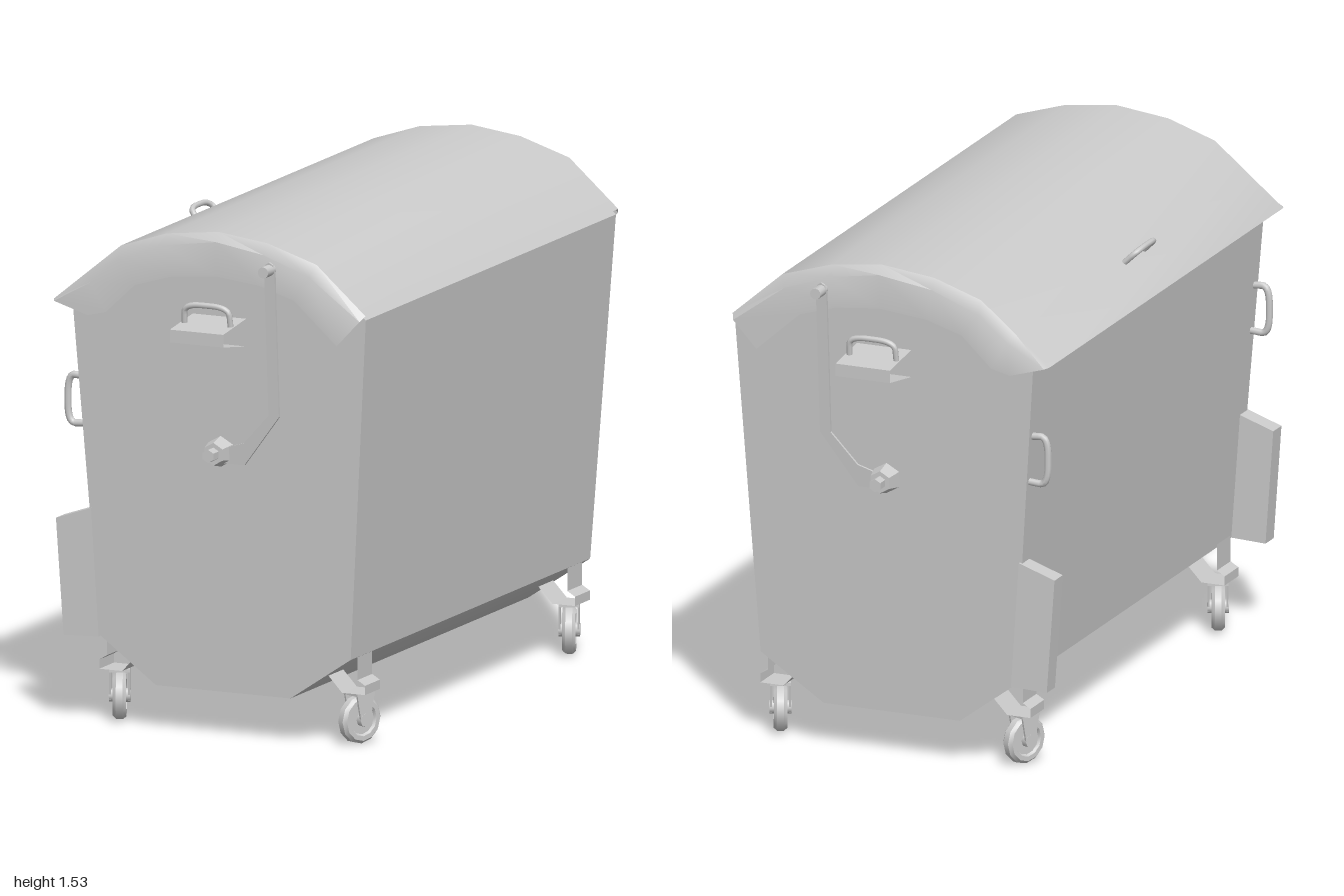
import * as THREE from 'three';
import { toCreasedNormals } from 'three/addons/utils/BufferGeometryUtils.js';

const material = new THREE.MeshStandardMaterial({ color: 0xcccccc, side: THREE.DoubleSide });
const V = (x, y, z) => new THREE.Vector3(x, y, z);

// Surface through rows of points, smooth except at sharp folds
function loft(rows, crease = 0.6) {
  const positions = [];
  const push = (...points) => points.forEach((p) => positions.push(p.x, p.y, p.z));
  for (let i = 0; i + 1 < rows.length; i++) {
    for (let j = 0; j + 1 < rows[i].length; j++) {
      const a = rows[i][j], b = rows[i][j + 1], c = rows[i + 1][j + 1], d = rows[i + 1][j];
      push(a, b, c, a, c, d);
    }
  }
  const geometry = new THREE.BufferGeometry();
  geometry.setAttribute('position', new THREE.Float32BufferAttribute(positions, 3));
  geometry.computeVertexNormals();
  return toCreasedNormals(geometry, crease);
}

// Copy of a geometry reflected in x and/or z, with the winding kept outward
function mirrored(source, sx, sz) {
  const geometry = source.index ? source.toNonIndexed() : source.clone();
  geometry.scale(sx, 1, sz);
  if (sx * sz < 0) {
    for (const { array, itemSize: n } of Object.values(geometry.attributes)) {
      for (let t = 0; t < array.length; t += 3 * n) {
        for (let k = 0; k < n; k++) {
          const swap = array[t + n + k];
          array[t + n + k] = array[t + 2 * n + k];
          array[t + 2 * n + k] = swap;
        }
      }
    }
  }
  return geometry;
}

function extrude(points, depth) {
  const shape = new THREE.Shape(points.map(([x, y]) => new THREE.Vector2(x, y)));
  return new THREE.ExtrudeGeometry(shape, { depth, bevelEnabled: false });
}

// Bent round bar with rounded corners
function bar(points, radius) {
  const path = new THREE.CurvePath();
  let from = points[0];
  for (let i = 1; i < points.length - 1; i++) {
    const r = 0.4;
    const start = points[i].clone().lerp(points[i - 1], r);
    const end = points[i].clone().lerp(points[i + 1], r);
    path.add(new THREE.LineCurve3(from, start));
    path.add(new THREE.QuadraticBezierCurve3(start, points[i], end));
    from = end;
  }
  path.add(new THREE.LineCurve3(from, points[points.length - 1]));
  return new THREE.TubeGeometry(path, 24, radius, 8, false);
}

function add(parent, name, geometry) {
  const mesh = new THREE.Mesh(geometry, material);
  mesh.name = name;
  parent.add(mesh);
  return mesh;
}

// Lid arc: outer edge, chamfer edge and lower skirt edge
const lidOuter = [[-0.51, 1.28], [-0.4, 1.37], [-0.29, 1.46], [-0.14, 1.51], [0.03, 1.53], [0.19, 1.51], [0.35, 1.46], [0.51, 1.32]];
const lidChamfer = [[-0.5, 1.278], [-0.38, 1.345], [-0.29, 1.42], [-0.14, 1.478], [0.03, 1.503], [0.185, 1.478], [0.335, 1.425], [0.5, 1.305]];
const lidSkirt = [[-0.39, 1.245], [-0.33, 1.26], [-0.235, 1.35], [-0.12, 1.385], [0.03, 1.4], [0.17, 1.385], [0.285, 1.35], [0.425, 1.225]];

function bodyGeometry() {
  const arc = lidOuter.slice(1, -1).reverse().map(([x, y]) => [x, y - 0.015]);
  const outline = [[-0.2, 0.135], [0.24, 0.135], [0.44, 0.27], [0.507, 1.305], ...arc, [-0.455, 1.3], [-0.38, 0.27]];
  const geometry = extrude(outline, 2).translate(0, 0, -1);
  // End walls lean outward towards the top
  const p = geometry.attributes.position;
  for (let i = 0; i < p.count; i++) {
    p.setZ(i, p.getZ(i) * (0.805 + 0.035 * (p.getY(i) - 0.135)));
  }
  geometry.computeVertexNormals();
  return toCreasedNormals(geometry, 0.7);
}

function lidGeometry() {
  const row = (points, z) => points.map(([x, y]) => V(x, y, z));
  return loft([
    row(lidSkirt, 0.875), row(lidChamfer, 0.875), row(lidOuter, 0.855),
    row(lidOuter, -0.855), row(lidChamfer, -0.875), row(lidSkirt, -0.875),
  ].reverse());
}

// Fittings on the end wall facing +z
function endParts() {
  const bracket = [[1.275, 0.84], [1.255, 1], [1.217, 1], [1.19, 0.84]];
  const arm = [[0.228, 1.44], [0.222, 1.454], [0.211, 1.46], [0.2, 1.454], [0.194, 1.44], [0.194, 0.992],
    [0.11, 0.9], [0.06, 0.885], [0.02, 0.885], [0.02, 0.833], [0.11, 0.833], [0.228, 0.99]];
  const armGeometry = extrude(arm, 0.008);
  const p = armGeometry.attributes.position;
  for (let i = 0; i < p.count; i++) p.setZ(i, p.getZ(i) + 0.84 + 0.068 * (p.getY(i) - 0.85));
  armGeometry.computeVertexNormals();
  const knob = (r1, r2, length, x, y, z, sides) =>
    toCreasedNormals(new THREE.CylinderGeometry(r1, r2, length, sides).rotateX(Math.PI / 2).translate(x, y, z), 0.8);
  return {
    liftBracket: loft([-0.06, 0.115].map((x) => bracket.map(([y, z]) => V(x, y, z))), 0.1),
    bracketHandle: bar([V(-0.048, 1.26, 0.925), V(-0.045, 1.322, 0.933), V(0.1, 1.322, 0.933), V(0.103, 1.26, 0.925)], 0.009),
    lidArm: armGeometry,
    lidPin: knob(0.017, 0.017, 0.07, 0.211, 1.437, 0.895, 12),
    pivotBase: knob(0.034, 0.048, 0.055, 0.025, 0.865, 0.853, 6),
    pivotBolt: knob(0.02, 0.02, 0.04, 0.025, 0.865, 0.897, 6),
    sideHandle: bar([V(-0.425, 1.045, 0.81), V(-0.485, 1.05, 0.81), V(-0.485, 0.9, 0.81), V(-0.42, 0.905, 0.81)], 0.011),
    sideGuard: extrude([[-0.49, 0.265], [-0.375, 0.27], [-0.4, 0.655], [-0.515, 0.615]], 0.06).translate(0, 0, 0.77),
  };
}

// Swivelled caster on the +x, +z corner
function casterParts() {
  const place = (geometry) => geometry.rotateY(-0.42).translate(0.392, 0, 0.71);
  const profile = [[0.02, -0.012], [0.045, -0.012], [0.05, -0.02], [0.064, -0.02], [0.073, -0.01],
    [0.073, 0.01], [0.064, 0.02], [0.05, 0.02], [0.045, 0.012], [0.02, 0.012]];
  const wheel = new THREE.LatheGeometry(profile.map(([r, h]) => new THREE.Vector2(r, h)), 12);
  const cheek = (x) => extrude([[-0.034, 0.155], [-0.016, 0.06], [0.016, 0.06], [0.034, 0.155]], 0.006)
    .rotateY(Math.PI / 2).translate(x - 0.003, 0, 0);
  const mount = [[0.41, 0.28], [0.41, 0.2], [0.435, 0.185], [0.435, 0.157], [0.36, 0.157], [0.31, 0.21]];
  return {
    casterMount: loft([0.66, 0.76].map((z) => mount.map(([x, y]) => V(x, y, z))), 0.1),
    wheel: place(toCreasedNormals(wheel.rotateZ(Math.PI / 2), 0.6).translate(0, 0.073, 0)),
    axle: place(new THREE.CylinderGeometry(0.021, 0.021, 0.064, 8).rotateZ(Math.PI / 2).translate(0, 0.073, 0)),
    forkInner: place(cheek(-0.028)),
    forkOuter: place(cheek(0.028)),
    forkCrown: place(new THREE.BoxGeometry(0.062, 0.01, 0.068).translate(0, 0.152, 0)),
  };
}

export function createModel() {
  const model = new THREE.Group();
  model.name = 'wasteContainer';
  add(model, 'body', bodyGeometry());
  add(model, 'lid', lidGeometry());
  add(model, 'lidHandle', bar([V(-0.395, 1.355, 0.07), V(-0.45, 1.408, 0.065), V(-0.45, 1.408, -0.065), V(-0.395, 1.355, -0.07)], 0.009));

  const ends = endParts();
  const casters = casterParts();
  for (const sz of [1, -1]) {
    const end = new THREE.Group();
    end.name = sz > 0 ? 'frontFittings' : 'backFittings';
    for (const [name, geometry] of Object.entries(ends)) add(end, name, mirrored(geometry, 1, sz));
    model.add(end);

    for (const sx of [1, -1]) {
      const caster = new THREE.Group();
      caster.name = (sz > 0 ? 'front' : 'back') + (sx > 0 ? 'Left' : 'Right') + 'Caster';
      caster.position.x = 0.028;
      for (const [name, geometry] of Object.entries(casters)) add(caster, name, mirrored(geometry, sx, sz));
      model.add(caster);
    }
  }
  return model;
}
